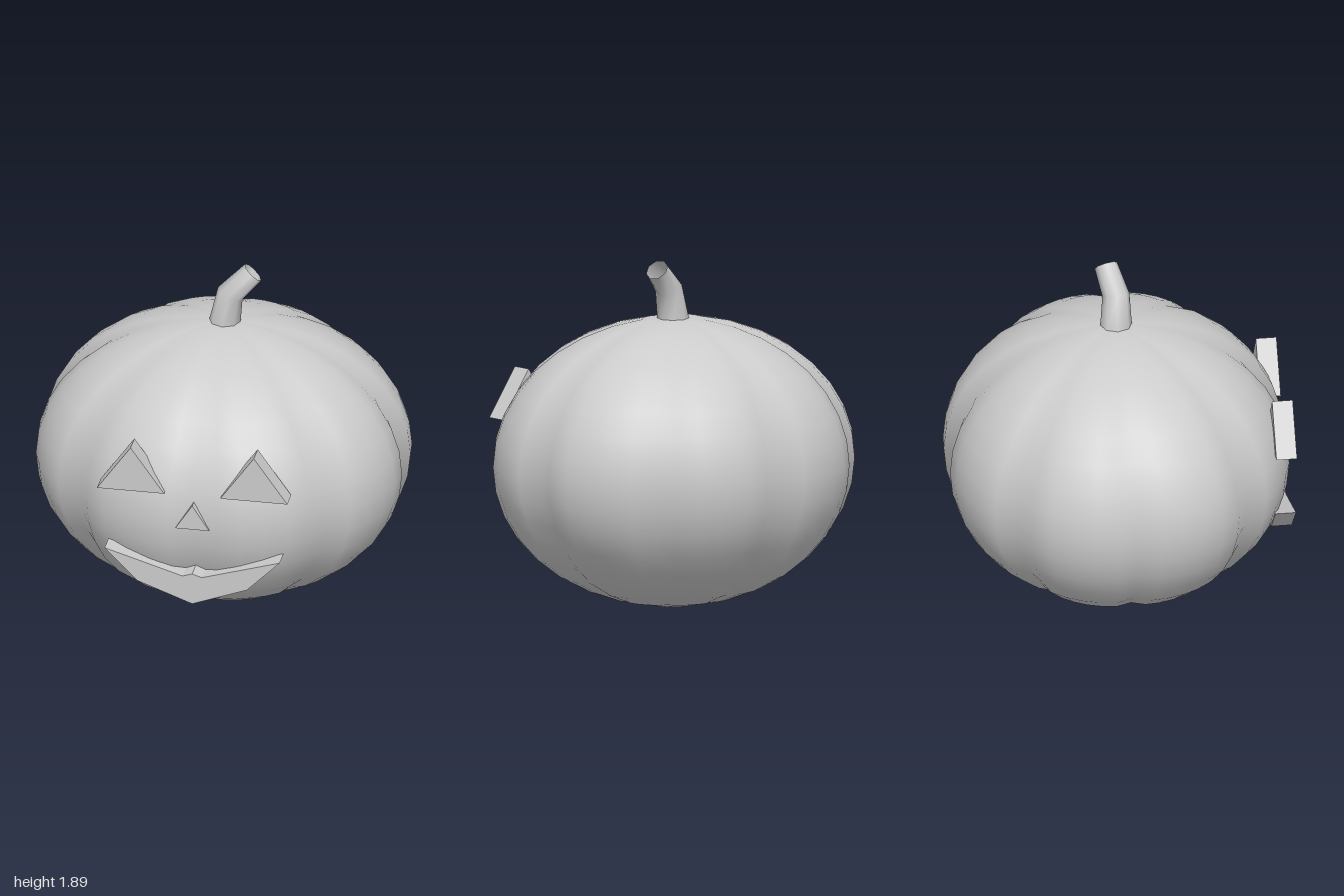
import * as THREE from 'three';
import { mergeVertices } from 'three/addons/utils/BufferGeometryUtils.js';

const grey = (options = {}) => new THREE.MeshStandardMaterial({ color: 0xcccccc, ...options });

function addMesh(group, name, geometry, material) {
  const mesh = new THREE.Mesh(geometry, material);
  mesh.name = name;
  group.add(mesh);
}

// Squashed sphere with eight rounded lobes and narrow grooves between them
function bodyGeometry() {
  let geo = new THREE.SphereGeometry(1, 48, 18);
  const p = geo.attributes.position;
  for (let i = 0; i < p.count; i++) {
    const x = p.getX(i), z = p.getZ(i);
    const lobe = 0.952 + 0.072 * Math.abs(Math.sin(4 * Math.atan2(z, x))) ** 0.35;
    p.setXYZ(i, x * lobe, 0.785 + p.getY(i) * 0.785, z * lobe * 0.92);
  }
  geo.deleteAttribute('uv');
  geo.deleteAttribute('normal');
  geo = mergeVertices(geo);
  geo.computeVertexNormals();
  return geo;
}

// Hollow bent stem, lofted through three tilted rings
function stemGeometry() {
  const sides = 8;
  const rings = [
    { centre: [0.005, 1.56, 0], axis: [0, 1, 0], radius: 0.086 },
    { centre: [0.035, 1.73, 0.003], axis: [0.42, 0.9, -0.06], radius: 0.074 },
    { centre: [0.152, 1.848, -0.036], axis: [0.69, 0.72, -0.2], radius: 0.063 },
  ];
  const positions = [], index = [];
  const up = new THREE.Vector3(0, 1, 0);
  rings.forEach(({ centre, axis, radius }, r) => {
    const turn = new THREE.Quaternion().setFromUnitVectors(up, new THREE.Vector3(...axis).normalize());
    for (let s = 0; s < sides; s++) {
      const a = (s / sides) * Math.PI * 2;
      const v = new THREE.Vector3(Math.cos(a) * radius, 0, Math.sin(a) * radius);
      v.applyQuaternion(turn).add(new THREE.Vector3(...centre));
      positions.push(v.x, v.y, v.z);
      if (r < rings.length - 1) {
        const n = (s + 1) % sides, lo = r * sides, hi = lo + sides;
        index.push(lo + s, hi + s, lo + n, lo + n, hi + s, hi + n);
      }
    }
  });
  const geo = new THREE.BufferGeometry();
  geo.setAttribute('position', new THREE.Float32BufferAttribute(positions, 3));
  geo.setIndex(index);
  geo.computeVertexNormals();
  return geo;
}

// Flat face piece standing proud of the body
function slab(points) {
  const shape = new THREE.Shape(points.map(([x, y]) => new THREE.Vector2(x, y)));
  return new THREE.ExtrudeGeometry(shape, { depth: 0.112, bevelEnabled: false }).translate(0, 0, 0.803);
}

export function createModel() {
  const model = new THREE.Group();
  model.name = 'carvedPumpkin';

  addMesh(model, 'body', bodyGeometry(), grey());
  addMesh(model, 'stem', stemGeometry(), grey({ side: THREE.DoubleSide }));

  // Eyes
  for (const [name, x] of [['leftEye', 0.338], ['rightEye', -0.338]]) {
    addMesh(model, name, slab([[x - 0.184, 0.96], [x + 0.184, 0.96], [x, 1.22]]), grey());
  }

  // Nose
  addMesh(model, 'nose', slab([[-0.093, 0.757], [0.093, 0.757], [0, 0.9]]), grey());

  // Mouth
  addMesh(model, 'mouth', slab([
    [-0.48, 0.6], [-0.3, 0.418], [0, 0.306], [0.3, 0.418],
    [0.48, 0.6], [0.053, 0.47], [0, 0.487], [-0.053, 0.47],
  ]), grey());

  return model;
}
